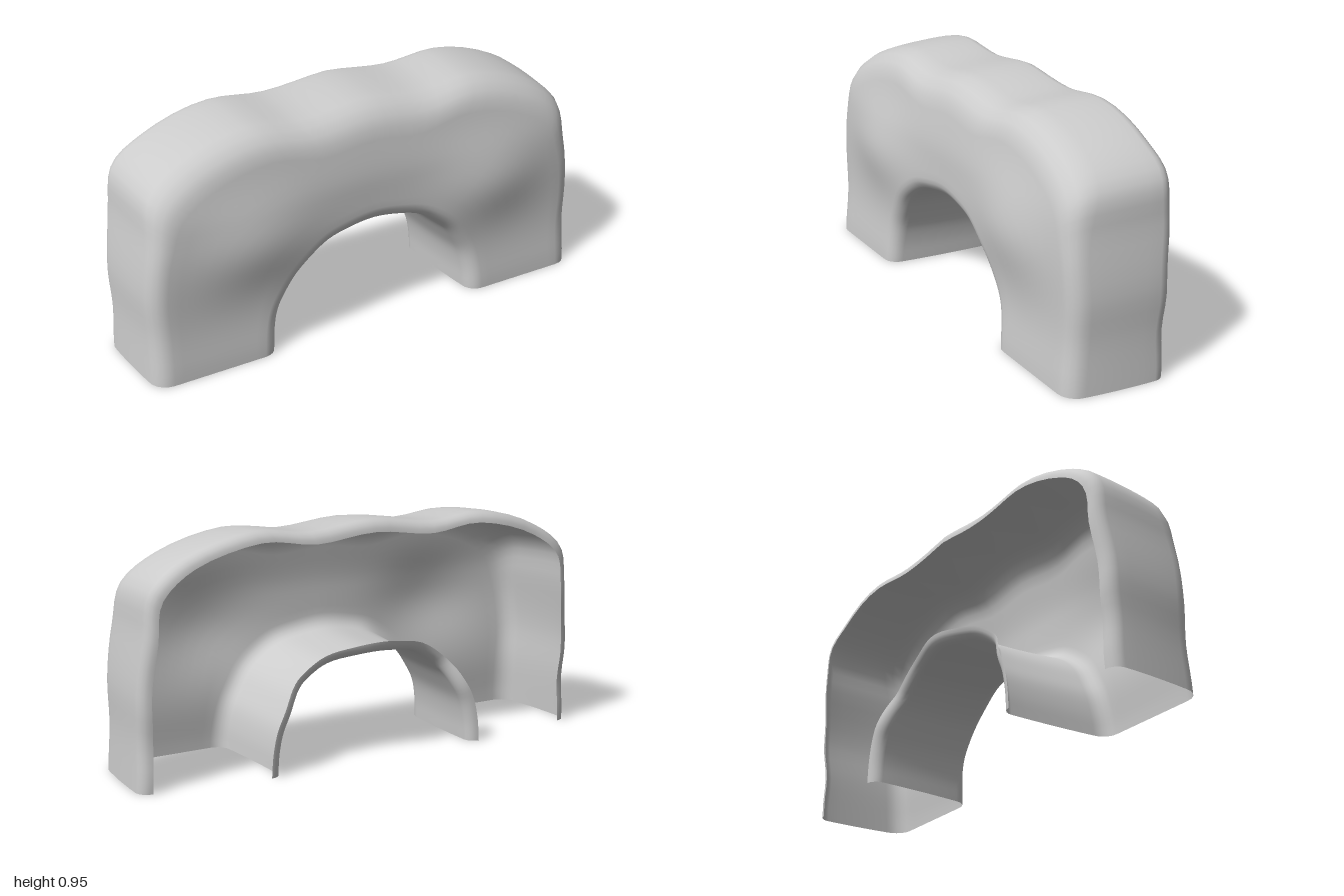
import * as THREE from 'three';

// Half outlines of the arch, from the foot up to the crown (x, y), matched point by point
const OUTER = [[0.992, 0.005], [0.985, 0.2], [0.988, 0.38], [0.96, 0.6], [0.935, 0.76], [0.8, 0.868], [0.52, 0.948], [0.28, 0.928], [0, 0.956]];
const INNER = [[0.437, 0.005], [0.43, 0.09], [0.412, 0.17], [0.38, 0.235], [0.335, 0.305], [0.275, 0.36], [0.2, 0.403], [0.1, 0.425], [0, 0.435]];

function archCurve(half) {
  const mirrored = half.slice(0, -1).reverse().map(([x, y]) => [-x, y]);
  return new THREE.CatmullRomCurve3([...half, ...mirrored].map(([x, y]) => new THREE.Vector3(x, y, 0)));
}

const bump = (d, width) => Math.exp(-(d * d) / (width * width));
const smooth = THREE.MathUtils.smoothstep;
const mix = THREE.MathUtils.lerp;

// Depth of the gently bulging rock face
function frontDepth(x, y) {
  const ax = Math.abs(x);
  return 0.213 + 0.042 * bump(ax - 0.54, 0.26) * bump(y - 0.5, 0.17)
    + 0.018 * bump(y, 0.15) - 0.03 * smooth(y, 0.62, 0.9);
}

// Cross-section of the shell: open at the back, rounded at the front corners and back rims
function section(o, i, t) {
  const span = o.distanceTo(i);
  const points = [];
  const add = (inset, z) => {
    const p = o.clone().lerp(i, inset / span);
    p.z = z;
    points.push(p);
  };
  const at = (inset) => {
    const p = o.clone().lerp(i, inset / span);
    return frontDepth(p.x, p.y);
  };
  // quarter turn from angle 0 to 90 degrees, given to place() as sine and cosine
  const quarter = (place, steps = 5) => {
    for (let k = 0; k <= steps; k++) {
      const a = (k / steps) * Math.PI / 2;
      place(Math.sin(a), Math.cos(a));
    }
  };
  const wave = Math.sin(Math.abs(t - 0.5) * 75);
  const rOut = 0.075 + 0.07 * smooth(o.y, 0.5, 0.9);
  const rIn = 0.06, rim = 0.05, curl = 0.045;
  const draft = 0.016; // both walls taper toward the front

  // outer wall, its back rim rolled inward
  const outerBack = -0.18 - 0.035 * smooth(o.y, 0.1, 0.8) + 0.003 * wave;
  const outerFront = at(draft + rOut) - rOut;
  quarter((s, c) => add(rim * (1 - s), outerBack + rim * (1 - c)));
  for (let k = 1; k < 5; k++) {
    add(draft * (k / 5) ** 2, mix(outerBack + rim, outerFront, k / 5));
  }
  // outer front corner
  quarter((s, c) => add(draft + rOut * (1 - c), outerFront + rOut * s));
  // front face
  const inner = span - draft;
  for (let k = 1; k < 10; k++) {
    const inset = mix(draft + rOut, inner - rIn, k / 10);
    add(inset, at(inset));
  }
  // inner front corner
  const innerFront = at(inner - rIn) - rIn;
  quarter((s, c) => add(inner - rIn * (1 - s), innerFront + rIn * c));
  // inner wall, deepest at the feet and the crown, its back rim rolled outward
  const ax = Math.abs(i.x);
  const innerBack = -0.2 - 0.045 * smooth(ax, 0.3, 0.4) - 0.05 * bump(ax, 0.15);
  for (let k = 1; k < 5; k++) {
    add(span - draft * (1 - k / 5) ** 2, mix(innerFront, innerBack + curl, k / 5));
  }
  quarter((s, c) => add(span - curl * (1 - c), innerBack + curl * (1 - s)));
  return points;
}

// Skin the cross-sections into one smooth open shell
function shellGeometry(count) {
  const outer = archCurve(OUTER), inner = archCurve(INNER);
  const positions = [], index = [];
  let row = 0;
  for (let n = 0; n <= count; n++) {
    const t = n / count;
    const points = section(outer.getPoint(t), inner.getPoint(t), t);
    row = points.length;
    points.forEach((p) => positions.push(p.x, Math.max(p.y, 0), p.z));
  }
  for (let n = 0; n < count; n++) {
    for (let k = 0; k < row - 1; k++) {
      const a = n * row + k, b = a + row;
      index.push(a, b, a + 1, b, b + 1, a + 1);
    }
  }
  const geometry = new THREE.BufferGeometry();
  geometry.setAttribute('position', new THREE.Float32BufferAttribute(positions, 3));
  geometry.setIndex(index);
  geometry.computeVertexNormals();
  return geometry;
}

export function createModel() {
  const group = new THREE.Group();
  group.name = 'rockArch';
  const material = new THREE.MeshStandardMaterial({ color: 0xcccccc, side: THREE.DoubleSide });
  const shell = new THREE.Mesh(shellGeometry(64), material);
  shell.name = 'archShell';
  group.add(shell);
  return group;
}
